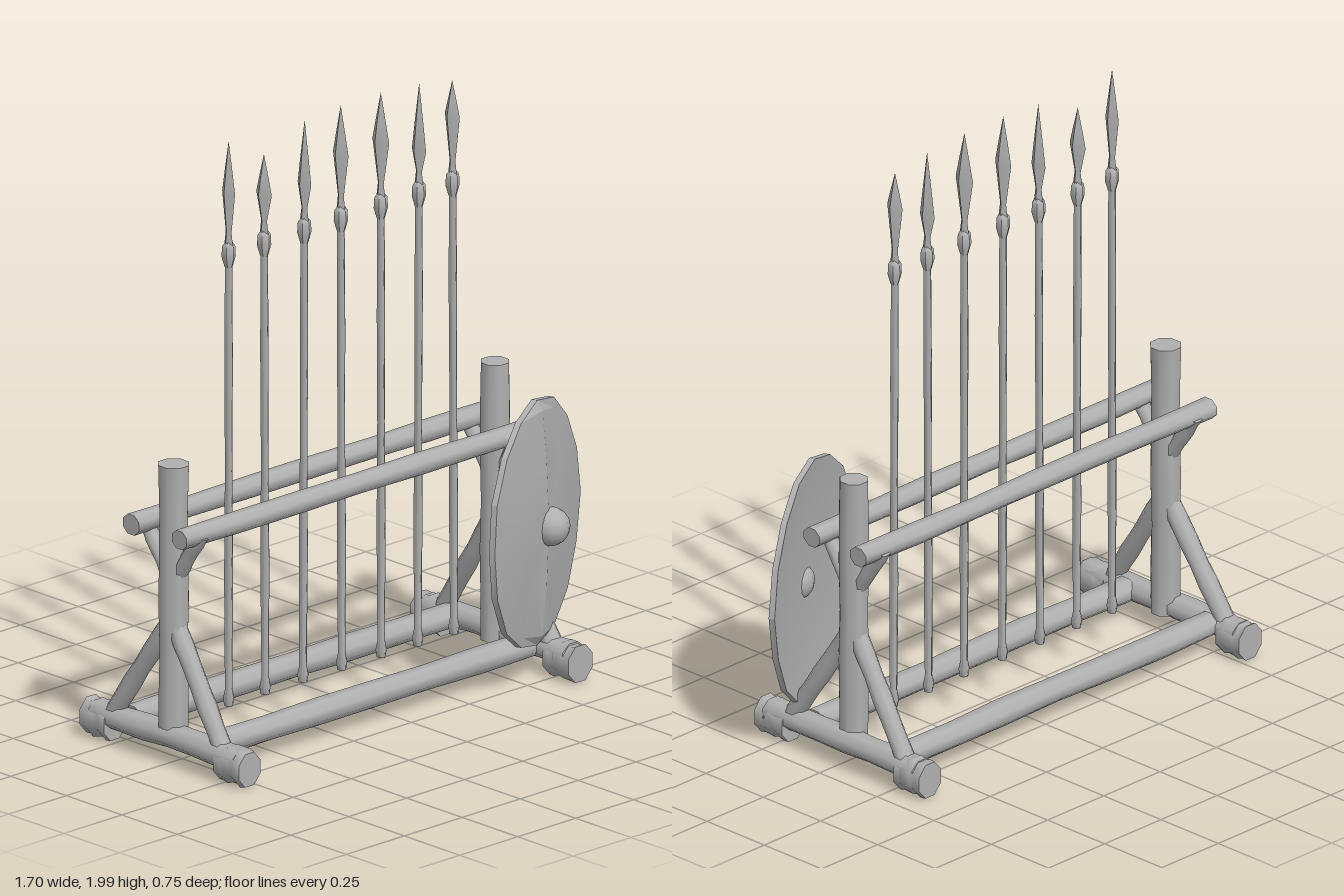
import * as THREE from 'three';
import { toCreasedNormals } from 'three/addons/utils/BufferGeometryUtils.js';

const grey = new THREE.MeshStandardMaterial({ color: 0xb0b0b0 });
grey.name = 'plain grey';

function addMesh(parent, name, geometry, crease = 0.9) {
  const mesh = new THREE.Mesh(toCreasedNormals(geometry, crease), grey);
  mesh.name = name;
  parent.add(mesh);
  return mesh;
}

// Rough eight-sided timber from a to b; rx and rz are its half widths
function log(parent, name, a, b, rx, rz = rx, rough = 0.05) {
  const start = new THREE.Vector3(...a), end = new THREE.Vector3(...b);
  const axis = end.clone().sub(start), length = axis.length();
  const g = new THREE.CylinderGeometry(1.06, 1.06, length, 8, 6);
  g.rotateY(Math.PI / 8);
  const p = g.attributes.position;
  const seed = a[0] * 7 + a[1] * 5 + a[2] * 11;
  for (let i = 0; i < p.count; i++) {
    const t = p.getY(i) / length;
    const swell = 1 + rough * Math.sin(t * 14 + seed);
    const shift = rough * 0.8 * Math.sin(t * 9 + seed * 2);
    p.setX(i, (p.getX(i) * swell + shift) * rx);
    p.setZ(i, (p.getZ(i) * swell - shift) * rz);
  }
  g.applyQuaternion(new THREE.Quaternion().setFromUnitVectors(new THREE.Vector3(0, 1, 0), axis.normalize()));
  const mid = start.add(end).multiplyScalar(0.5);
  g.translate(mid.x, mid.y, mid.z);
  return addMesh(parent, name, g);
}

function lathe(points, sides) {
  return new THREE.LatheGeometry(points.map(([r, y]) => new THREE.Vector2(r, y)), sides);
}

// Post, foot and braces at one end of the rack
function endFrame(name, postX, footX) {
  const frame = new THREE.Group();
  frame.name = name;
  log(frame, 'post', [postX, 0.06, -0.02], [postX, 0.975, -0.02], 0.046, 0.047);
  log(frame, 'footBeam', [footX, 0.083, -0.34], [footX, 0.083, 0.31], 0.046, 0.038);
  log(frame, 'frontFootPad', [footX, 0.062, 0.225], [footX, 0.062, 0.342], 0.05, 0.058);
  log(frame, 'backFootPad', [footX, 0.062, -0.375], [footX, 0.062, -0.265], 0.05, 0.058);
  log(frame, 'frontLowerBrace', [footX, 0.09, 0.225], [postX, 0.45, -0.01], 0.032, 0.028);
  log(frame, 'backLowerBrace', [footX, 0.09, -0.275], [postX, 0.45, -0.035], 0.032, 0.028);
  log(frame, 'frontUpperBrace', [postX, 0.77, 0.105], [postX, 0.58, -0.02], 0.026, 0.022);
  log(frame, 'backUpperBrace', [postX, 0.77, -0.15], [postX, 0.58, -0.025], 0.026, 0.022);
  return frame;
}

// Spear with height of tip, height of widest blade point and half width
function spear(x, tip, wide, halfWidth, index) {
  const group = new THREE.Group();
  group.name = 'spear' + (index + 1);
  const lean = 0.004 * Math.sin(index * 2.3);
  const shaft = lathe([[0, 0.125], [0.014, 0.125], [0.018, 0.15], [0.012, 0.18],
    [0.0145, 0.55], [0.012, 0.9], [0.0135, 1.25], [0.012, 1.6], [0, 1.6]], 6);
  addMesh(group, 'shaft', shaft, 1.1);
  addMesh(group, 'collar', lathe([[0, 1.575], [0.013, 1.575], [0.023, 1.61], [0.021, 1.645],
    [0.009, 1.66], [0, 1.66]], 6));
  const blade = lathe([[0, 1.64], [0.014, 1.64], [0.009, 1.69], [halfWidth, wide],
    [halfWidth * 0.62, wide + (tip - wide) * 0.4], [0, tip]], 4);
  blade.scale(1, 1, 1.45);
  addMesh(group, 'blade', blade, 0.3);
  group.position.set(x, 0, -0.005);
  group.rotation.z = lean;
  return group;
}

// Oval shield with a low dome, upright ridge and round boss
function shield() {
  const group = new THREE.Group();
  group.name = 'shield';
  const g = lathe([[0, 0.008], [0.5, 0.004], [0.93, -0.008], [1, -0.012], [1, 0.008],
    [0.92, 0.012], [0.5, 0.026], [0, 0.034]], 16);
  g.rotateX(Math.PI / 2);
  g.scale(0.33, 0.405, 1);
  const p = g.attributes.position;
  for (let i = 0; i < p.count; i++) {
    const x = p.getX(i), y = p.getY(i), z = p.getZ(i);
    if (Math.abs(x) < 0.01 && z > 0.01) p.setZ(i, z + 0.014);
    const chip = 1 + 0.012 * Math.sin(Math.atan2(y, x) * 5 + 1);
    p.setXY(i, x * chip, y * chip);
  }
  addMesh(group, 'shieldBoard', g, 0.35);
  const boss = addMesh(group, 'shieldBoss', new THREE.SphereGeometry(0.062, 12, 8), 1);
  boss.position.set(0.02, -0.01, 0.045);
  group.position.set(0.54, 0.525, 0.242);
  group.rotation.y = 0.39;
  return group;
}

export function createModel() {
  const model = new THREE.Group();
  model.name = 'spearRack';
  model.add(endFrame('rightEnd', -0.768, -0.785), endFrame('leftEnd', 0.618, 0.64));

  // Long rails
  log(model, 'frontLowerRail', [-0.76, 0.086, 0.148], [0.62, 0.086, 0.148], 0.038, 0.045);
  log(model, 'backLowerRail', [-0.76, 0.086, -0.22], [0.62, 0.086, -0.22], 0.038, 0.045);
  log(model, 'frontUpperRail', [-0.845, 0.767, 0.085], [0.7, 0.767, 0.085], 0.032, 0.036);
  log(model, 'backUpperRail', [-0.85, 0.767, -0.125], [0.705, 0.767, -0.125], 0.032, 0.036);

  // Row of spears
  const spears = [
    [-0.545, 1.99, 1.82, 0.02], [-0.387, 1.91, 1.78, 0.024], [-0.225, 1.98, 1.77, 0.021],
    [-0.057, 1.99, 1.83, 0.024], [0.113, 1.99, 1.83, 0.026], [0.27, 1.98, 1.76, 0.022],
    [0.427, 1.955, 1.84, 0.023],
  ];
  spears.forEach((s, i) => model.add(spear(...s, i)));

  model.add(shield());
  return model;
}
